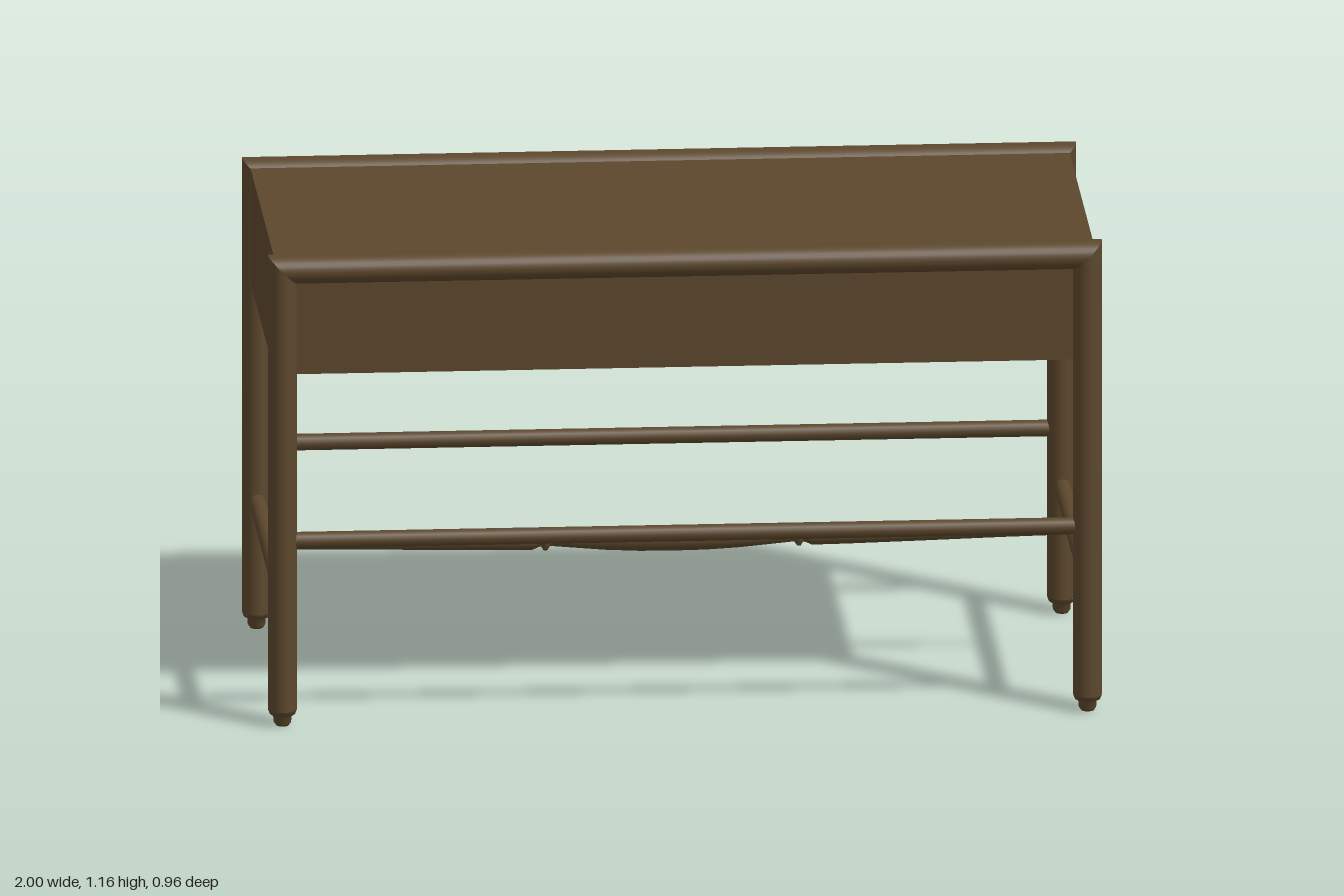
import * as THREE from 'three';

export function createModel() {
  const model = new THREE.Group();
  model.name = 'bench';
  const wood = new THREE.MeshStandardMaterial({ color: 0x5c472c });
  wood.name = 'brown wood';

  const LX = 0.965, LZ = 0.4385, RX = 0.035, RZ = 0.0415, TOP = 1.13;

  function add(name, geometry, x = 0, y = 0, z = 0) {
    const mesh = new THREE.Mesh(geometry, wood);
    mesh.name = name;
    mesh.position.set(x, y, z);
    model.add(mesh);
    return mesh;
  }

  function lathe(points) {
    return new THREE.LatheGeometry(points.map(([r, y]) => new THREE.Vector2(r, y)), 24);
  }

  // Leg: oval post whose top is cut at 45 degrees to meet the rail
  function legGeometry(side) {
    const bottom = 0.04;
    const g = new THREE.CylinderGeometry(1, 1, TOP - bottom, 28, 1, true);
    g.scale(RX, 1, RZ);
    g.translate(0, (TOP + bottom) / 2, 0);
    const p = g.attributes.position;
    for (let i = 0; i < p.count; i++) {
      if (p.getY(i) > 1) p.setY(i, TOP + side * p.getX(i));
    }
    return g;
  }

  // Rail: oval bar along x, mitred at both ends
  function railGeometry() {
    const g = new THREE.CylinderGeometry(1, 1, 2 * LX, 28, 1, true);
    g.rotateZ(Math.PI / 2);
    g.scale(1, RX, RZ);
    const p = g.attributes.position;
    for (let i = 0; i < p.count; i++) {
      p.setX(i, Math.sign(p.getX(i)) * (LX + p.getY(i)));
    }
    return g;
  }

  // Bevelled leg end and small foot
  const footProfile = [[0, 0], [0.017, 0], [0.023, 0.008], [0.025, 0.028], [0.034, 0.029], [0.0385, 0.04]];

  for (const front of [1, -1]) {
    const place = front > 0 ? 'front' : 'back';
    for (const side of [1, -1]) {
      const hand = side > 0 ? 'Left' : 'Right';
      add(place + hand + 'Leg', legGeometry(side), side * LX, 0, front * LZ);
      add(place + hand + 'Foot', lathe(footProfile), side * LX, 0, front * LZ)
        .scale.set(RX / 0.0385, 1, RZ / 0.0385);
    }
    add(place + 'Rail', railGeometry(), 0, TOP, front * LZ);
    add(place + 'Apron', new THREE.BoxGeometry(2 * LX, 0.27, 0.02), 0, 1.0, front * 0.415);

    const bar = new THREE.CylinderGeometry(0.02, 0.02, 2 * LX, 18);
    add(place + 'Stretcher', bar.rotateZ(Math.PI / 2), 0, 0.457, front * LZ);
  }

  // Side panels and cross stretchers
  for (const side of [1, -1]) {
    const hand = side > 0 ? 'left' : 'right';
    add(hand + 'Panel', new THREE.BoxGeometry(0.02, 0.27, 0.85), side * 0.972, 1.0, 0);
    const bar = new THREE.CylinderGeometry(0.02, 0.02, 2 * LZ, 18);
    add(hand + 'Stretcher', bar.rotateX(Math.PI / 2), side * LX, 0.32, 0);
  }

  // Top board, open underneath
  add('topBoard', new THREE.BoxGeometry(1.964, 0.02, 0.85), 0, 1.138, 0);

  // Turned spindle: half profile mirrored about the middle
  const half = [
    [0.03, 0], [0.029, 0.08], [0.025, 0.16], [0.018, 0.24], [0.014, 0.285], [0.014, 0.293],
    [0.024, 0.3], [0.024, 0.308], [0.014, 0.314], [0.016, 0.322], [0.022, 0.335],
    [0.021, 0.42], [0.017, 0.6], [0.012, 0.8], [0.009, LX],
  ];
  const mirrored = half.slice(1).reverse().map(([r, y]) => [r, -y]);
  add('turnedSpindle', lathe([...mirrored, ...half]).rotateZ(Math.PI / 2), 0, 0.323, 0);

  return model;
}
